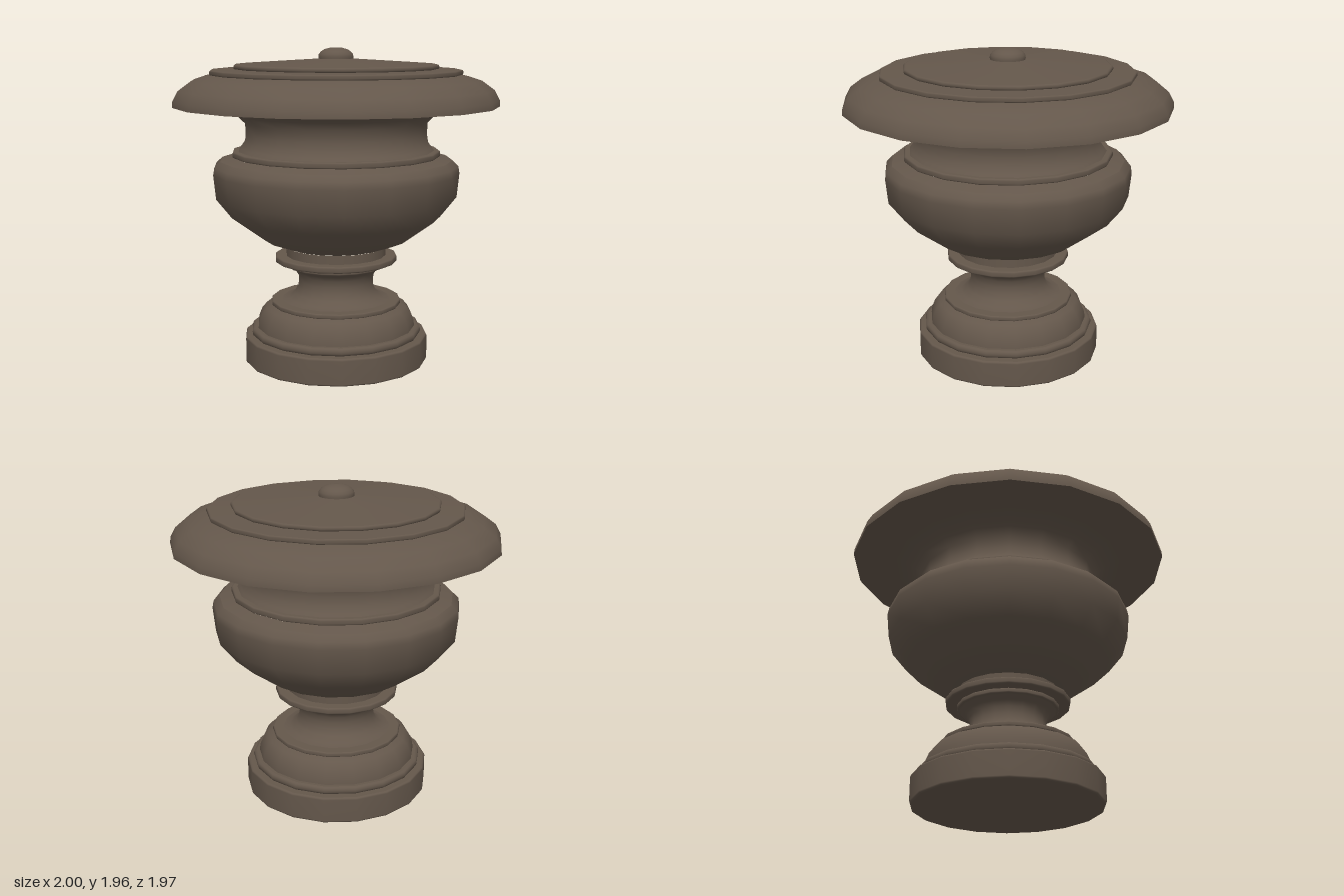
import * as THREE from 'three';

const SIDES = 18;

export function createModel() {
  const group = new THREE.Group();
  const stone = new THREE.MeshStandardMaterial({ color: 0x64574b });
  stone.name = 'brownStone';

  // One turned band; the profile runs from bottom to top as [radius, height]
  function turn(name, profile, sides = SIDES) {
    const points = profile.map(([r, y]) => new THREE.Vector2(r, y));
    const start = Math.PI / 2 % (2 * Math.PI / sides); // puts a corner on the x axis
    const mesh = new THREE.Mesh(new THREE.LatheGeometry(points, sides, start), stone);
    mesh.name = name;
    group.add(mesh);
  }

  // Flat-sided ring with small rounded edges and flat faces reaching inwards
  function ring(name, r, bottom, top, inner, b = 0.01, innerTop = inner, rise = 0) {
    turn(name + 'Underside', [[inner, bottom], [r - b, bottom]]);
    turn(name, [[r - b, bottom], [r - b * 0.3, bottom + b * 0.3], [r, bottom + b],
      [r, top - b], [r - b * 0.3, top - b * 0.3], [r - b, top]]);
    turn(name + 'Top', [[r - b, top], [innerTop, top + rise]]);
  }

  // Foot
  ring('plinth', 0.58, 0, 0.17, 0, 0.013, 0.48);
  ring('plinthMoulding', 0.538, 0.17, 0.22, 0.45, 0.018);
  turn('footDome', [[0.5, 0.22], [0.495, 0.26], [0.475, 0.31], [0.445, 0.345], [0.4, 0.365]]);
  ring('footCollar', 0.41, 0.36, 0.39, 0.38, 0.008, 0.32);

  // Stem
  turn('stem', [[0.34, 0.39], [0.3, 0.4], [0.26, 0.43], [0.24, 0.47], [0.235, 0.51],
    [0.24, 0.55], [0.26, 0.58], [0.3, 0.605]]);
  ring('stemLip', 0.315, 0.605, 0.635, 0.28, 0.008);
  ring('stemCollar', 0.385, 0.635, 0.675, 0.28);
  turn('bowlSocket', [[0.315, 0.675], [0.315, 0.73]]);

  // Bowl
  turn('bowl', [[0.31, 0.73], [0.45, 0.78], [0.655, 0.93], [0.75, 1.05], [0.765, 1.2],
    [0.757, 1.245], [0.72, 1.28]]);
  turn('bowlShoulder', [[0.72, 1.28], [0.64, 1.302]]);
  ring('bowlCollar', 0.645, 1.3, 1.338, 0.6);

  // Upper neck
  turn('neck', [[0.61, 1.335], [0.595, 1.355], [0.57, 1.39], [0.562, 1.44], [0.565, 1.51],
    [0.61, 1.555], [0.67, 1.59], [0.75, 1.612]]);

  // Wide rim
  turn('rimUnderside', [[0.73, 1.612], [1, 1.612]]);
  turn('rim', [[1, 1.612], [0.997, 1.65], [0.965, 1.71], [0.89, 1.765], [0.81, 1.792],
    [0.76, 1.802]]);

  // Lid
  ring('lidStep', 0.775, 1.8, 1.83, 0.74, 0.008, 0.61, 0.006);
  ring('lid', 0.63, 1.834, 1.862, 0.6, 0.01, 0, 0.04);

  // Knob
  turn('knob', [[0.105, 1.88], [0.108, 1.905], [0.105, 1.922], [0.092, 1.938], [0.07, 1.952],
    [0.04, 1.96], [0, 1.963]], 32);

  return group;
}
